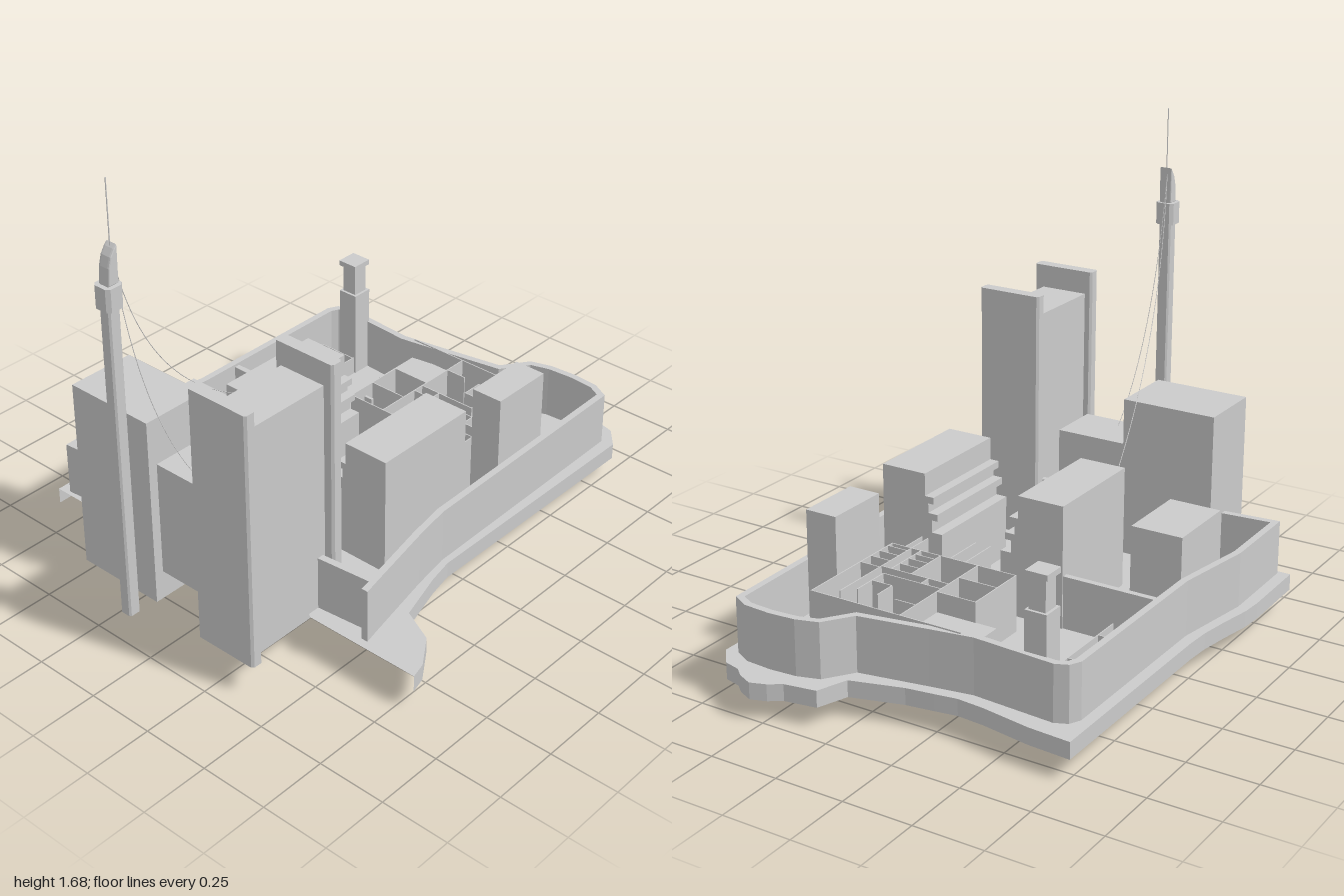
import * as THREE from 'three';

export function createModel() {
  const root = new THREE.Group();
  const mat = new THREE.MeshStandardMaterial({ color: 0xcccccc, flatShading: true, side: THREE.DoubleSide });
  const add = (name, geo, parent = root) => {
    const m = new THREE.Mesh(geo, mat);
    m.name = name;
    parent.add(m);
  };
  const group = (name) => {
    const g = new THREE.Group();
    g.name = name;
    root.add(g);
    return g;
  };
  // Box given by its limits on each axis
  const boxGeo = (x0, x1, y0, y1, z0, z1) => new THREE.BoxGeometry(x1 - x0, y1 - y0, z1 - z0)
    .translate((x0 + x1) / 2, (y0 + y1) / 2, (z0 + z1) / 2);
  const box = (name, x0, x1, y0, y1, z0, z1, parent) => add(name, boxGeo(x0, x1, y0, y1, z0, z1), parent);
  // Hollow block without its underside
  const shell = (name, x0, x1, y0, y1, z0, z1, parent) => {
    const g = boxGeo(x0, x1, y0, y1, z0, z1);
    g.setIndex([...g.index.array].filter((_, i) => i < 18 || i > 23));
    add(name, g, parent);
  };
  const planShape = (pts) => new THREE.Shape(pts.map(([x, z]) => new THREE.Vector2(x, -z)));
  // Plan outline [x, z] raised from y0 to y1, with an optional hole
  const plan = (pts, y0, y1, hole) => {
    const s = planShape(pts);
    if (hole) s.holes.push(planShape(hole));
    return new THREE.ExtrudeGeometry(s, { depth: y1 - y0, bevelEnabled: false })
      .rotateX(-Math.PI / 2).translate(0, y0, 0);
  };
  // Moves a clockwise-in-plan outline inwards by d, with mitred corners
  const inset = (pts, d) => pts.map((p, i) => {
    const a = pts[(i + pts.length - 1) % pts.length], b = pts[(i + 1) % pts.length];
    const n = (u, w) => {
      const l = Math.hypot(w[0] - u[0], w[1] - u[1]);
      return [-(w[1] - u[1]) / l, (w[0] - u[0]) / l];
    };
    const n1 = n(a, p), n2 = n(p, b);
    const k = d / (1 + n1[0] * n2[0] + n1[1] * n2[1]);
    return [p[0] + (n1[0] + n2[0]) * k, p[1] + (n1[1] + n2[1]) * k];
  });

  // Ground sheet with an irregular shoreline and a skirt below it, open on the left edge
  const shore = [
    [-0.68, -0.8], [-0.4, -0.805], [-0.32, -0.8], [-0.2, -0.777], [-0.09, -0.76], [0, -0.755],
    [0.785, -0.755], [0.775, -0.6], [0.745, -0.42], [0.737, -0.32], [0.75, -0.24], [0.765, -0.14],
    [0.82, 0.045], [0.93, 0.085], [0.95, 0.2], [0.98, 0.245], [1, 0.3], [0.975, 0.355],
    [0.945, 0.39], [0.93, 0.45], [0.86, 0.51], [-0.1, 0.51], [-0.2, 0.53], [-0.39, 0.585],
    [-0.45, 0.71], [-0.56, 0.785], [-0.62, 0.8],
  ];
  const cutEdge = [[-0.62, 0.36], [-0.58, 0.3], [-0.575, 0.1], [-0.6, -0.3], [-0.68, -0.45]];
  add('ground', new THREE.ShapeGeometry(planShape([...shore, ...cutEdge])).rotateX(-Math.PI / 2).translate(0, 0.13, 0));
  const pos = [], idx = [];
  shore.forEach(([x, z], i) => {
    pos.push(x, 0.13, z, x, 0.07, z);
    const k = 2 * i;
    if (i) idx.push(k - 2, k, k - 1, k, k + 1, k - 1);
  });
  const skirt = new THREE.BufferGeometry();
  skirt.setAttribute('position', new THREE.Float32BufferAttribute(pos, 3));
  skirt.setIndex(idx);
  skirt.computeVertexNormals();
  add('shoreSkirt', skirt);

  // Perimeter wall
  const wall = [
    [-0.665, -0.757], [-0.34, -0.762], [-0.2, -0.74], [-0.04, -0.715], [0.65, -0.715], [0.69, -0.695],
    [0.71, -0.65], [0.69, -0.35], [0.715, -0.2], [0.76, 0.05], [0.86, 0.12], [0.885, 0.2],
    [0.892, 0.3], [0.885, 0.4], [0.85, 0.465], [-0.1, 0.485], [-0.25, 0.51], [-0.545, 0.57],
  ];
  add('perimeterWall', plan(wall, 0.12, 0.33, inset(wall, 0.025)));
  add('wallEnd', plan([[-0.59, 0.555], [-0.53, 0.545], [-0.53, 0.567], [-0.59, 0.58]], 0.12, 0.33));

  // Plain blocks
  shell('tallBlock', -0.785, -0.53, 0, 0.72, -0.55, -0.195);
  shell('middleBlock', -0.75, -0.545, 0.11, 0.545, -0.195, 0.08);
  shell('rearBlock', -0.445, -0.16, 0.11, 0.42, -0.63, -0.435);
  shell('frontBlock', 0.3, 0.545, 0.11, 0.54, 0.285, 0.405);

  // Slab tower with two taller chamfered end walls
  const tower = group('slabTower');
  shell('towerBody', -0.87, -0.525, 0.11, 0.97, 0.165, 0.345, tower);
  for (const x of [-0.888, -0.507]) {
    const w = 0.023, c = 0.008, z0 = 0.137, z1 = 0.382;
    add('towerEndWall', plan([
      [x - w + c, z0], [x + w - c, z0], [x + w, z0 + c], [x + w, z1 - c],
      [x + w - c, z1], [x - w + c, z1], [x - w, z1 - c], [x - w, z0 + c],
    ], 0.11, 1.055), tower);
  }

  // Two stepped blocks facing each other, drawn as [z, y] profiles
  const steps = [
    [0.385, 0.11], [0.385, 0.572], [0.21, 0.572], [0.21, 0.49], [0.175, 0.49], [0.175, 0.465],
    [0.197, 0.465], [0.197, 0.43], [0.16, 0.43], [0.16, 0.405], [0.183, 0.405], [0.183, 0.36],
    [0.142, 0.36], [0.142, 0.11],
  ];
  for (const mirrored of [false, true]) {
    // Shape x becomes -z after the turn
    const s = new THREE.Shape(steps.map(([z, y]) => new THREE.Vector2(mirrored ? z - 0.045 : -z, y)));
    add(mirrored ? 'rearSteppedBlock' : 'frontSteppedBlock',
      new THREE.ExtrudeGeometry(s, { depth: 0.415, bevelEnabled: false })
        .rotateY(Math.PI / 2).translate(-0.28, 0, 0));
  }

  // Mast with chamfered shaft and collar, one-sided curved tip and needle
  const mast = group('mast');
  const post = (w, d, c, y0, y1) => plan([
    [c - w, -d], [w - c, -d], [w, c - d], [w, d - c], [w - c, d], [c - w, d], [-w, d - c], [-w, c - d],
  ], y0, y1).translate(-0.967, 0, -0.12);
  add('mastShaft', post(0.023, 0.023, 0.006, 0.11, 1.34), mast);
  add('mastCollar', post(0.034, 0.035, 0.012, 1.26, 1.34), mast);
  const tip = new THREE.Shape([
    [-0.985, 1.34], [-0.943, 1.34], [-0.943, 1.47], [-0.955, 1.458], [-0.97, 1.435], [-0.98, 1.4],
  ].map(([x, y]) => new THREE.Vector2(x, y)));
  add('mastTip', new THREE.ExtrudeGeometry(tip, {
    depth: 0.03, bevelThickness: 0.008, bevelSize: 0.003, bevelOffset: -0.003, bevelSegments: 2,
  }).translate(0, 0, -0.135), mast);
  add('needle', new THREE.CylinderGeometry(0.002, 0.002, 0.25, 6).translate(-0.95, 1.56, -0.12), mast);

  // Sagging cables from the mast tip
  for (const [mid, end] of [
    [[-0.8, 0.88, -0.19], [-0.28, 0.55, -0.31]],
    [[-0.88, 0.85, -0.12], [-0.7, 0.545, -0.08]],
  ]) {
    const c = new THREE.QuadraticBezierCurve3(
      new THREE.Vector3(-0.945, 1.45, -0.125), new THREE.Vector3(...mid), new THREE.Vector3(...end));
    add('cable', new THREE.TubeGeometry(c, 24, 0.0013, 5), mast);
  }

  // Chimney
  const chimney = group('chimney');
  shell('chimneyBase', 0.605, 0.685, 0.11, 0.47, -0.61, -0.53, chimney);
  box('chimneyShaft', 0.615, 0.675, 0.47, 0.58, -0.6, -0.54, chimney);
  box('chimneyCap', 0.603, 0.683, 0.58, 0.6, -0.61, -0.53, chimney);

  // Open-topped rooms: each wall runs from [x, z] to [x, z] along one axis
  const rooms = group('rooms');
  const runs = [
    [0.235, -0.22, 0.235, 0.28], [0.235, -0.22, 0.48, -0.22], [0.35, -0.22, 0.35, -0.07],
    [0.48, -0.22, 0.48, -0.07], [0.235, -0.07, 0.69, -0.07], [0.69, -0.3, 0.69, 0.28],
    [0.235, 0.28, 0.69, 0.28], [0.235, 0.2, 0.64, 0.2], [0.235, 0.08, 0.41, 0.08],
    [0.235, 0.16, 0.41, 0.16], [0.41, -0.07, 0.41, 0.2], [0.455, -0.07, 0.455, 0.16],
    [0.41, 0.01, 0.455, 0.01], [0.455, 0.16, 0.6, 0.16], [0.52, 0.08, 0.52, 0.16],
    [0.52, 0.08, 0.6, 0.08], [0.6, -0.07, 0.6, 0.01], [0.08, -0.02, 0.235, -0.02],
    [0.08, 0.04, 0.235, 0.04], [0.135, 0.2, 0.235, 0.2], [0.135, 0.225, 0.235, 0.225],
  ];
  for (const x of [0.27, 0.31, 0.36]) runs.push([x, 0.08, x, 0.16]);
  for (const x of [0.26, 0.31, 0.36, 0.42]) runs.push([x, 0.2, x, 0.28]);
  const t = 0.002;
  for (const [x0, z0, x1, z1] of runs) box('roomWall', x0 - t, x1 + t, 0.12, 0.335, z0 - t, z1 + t, rooms);
  box('roomRoof', 0.48, 0.69, 0.25, 0.262, -0.3, -0.07, rooms);

  // Yard partition and the low rooms along the back wall
  box('yardPartition', 0.108, 0.13, 0.12, 0.32, -0.695, -0.33, rooms);
  for (const x of [0.235, 0.43, 0.595]) box('backRoomWall', x - t, x + t, 0.12, 0.2, -0.69, -0.535, rooms);
  box('backRoomFront', 0.135, 0.6, 0.12, 0.2, -0.537, -0.533, rooms);

  // Small stairs
  for (let i = 0; i < 6; i++) {
    const h = 0.16 + i * 0.028;
    box('stair', 0.25 + i * 0.01, 0.26 + i * 0.01, 0.13, h, -0.215, -0.18, rooms);
    box('stair', 0.64, 0.69, 0.13, h, 0.17 + i * 0.011, 0.181 + i * 0.011, rooms);
  }
  return root;
}
